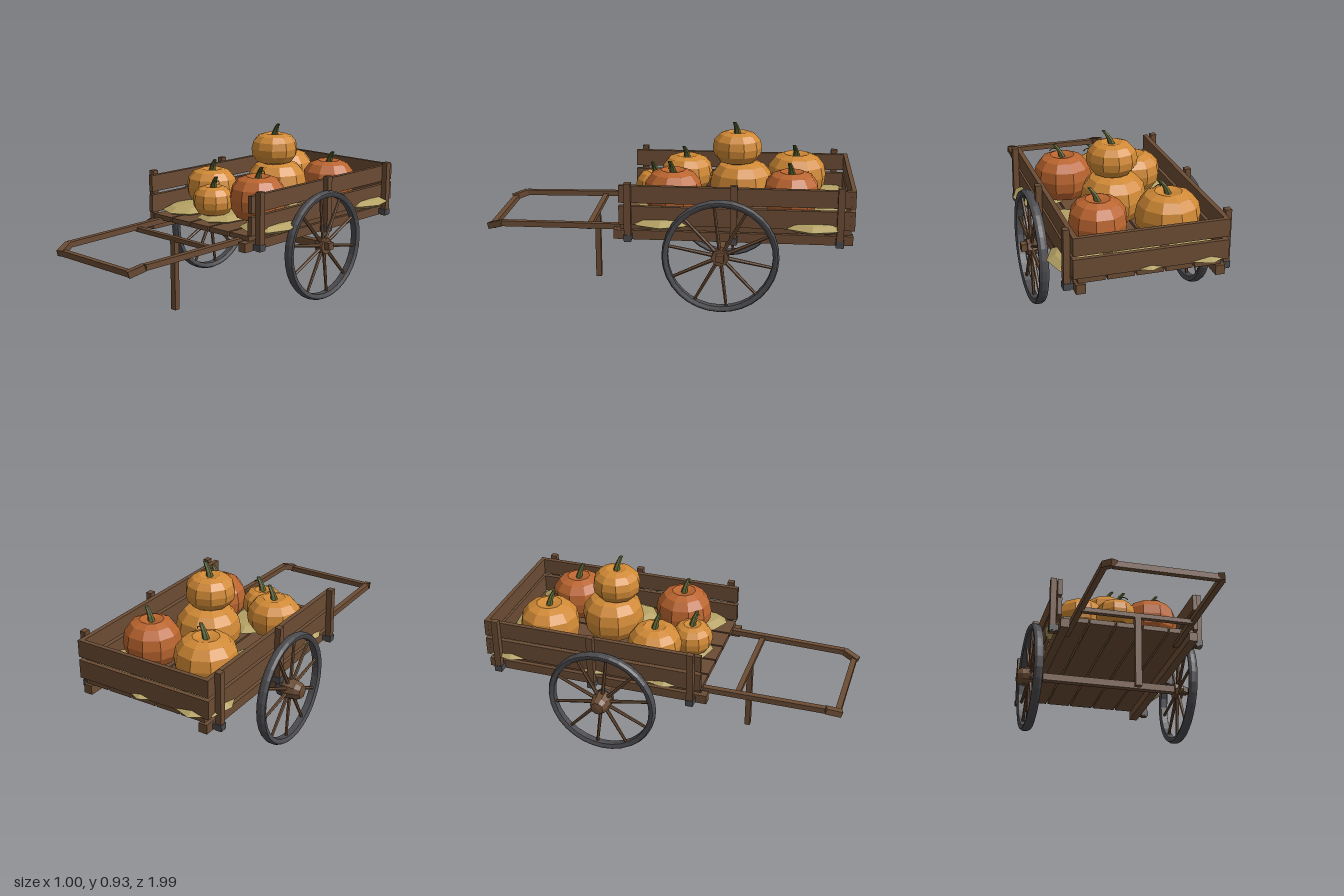
import * as THREE from 'three';

export function createModel() {
  const root = new THREE.Group();
  root.name = 'pumpkinCart';
  const mat = (name, color, flat = true) => {
    const m = new THREE.MeshStandardMaterial({ color, flatShading: flat });
    m.name = name;
    return m;
  };
  const wood = mat('wood', 0x6b4c34);
  const iron = mat('iron', 0x4b4a4e);
  const straw = mat('straw', 0xb5a264);
  const orange = mat('orange', 0xd18a36);
  const rust = mat('rust', 0xbb652f);
  const green = mat('stemGreen', 0x5a6332);

  const add = (name, geo, m, x = 0, y = 0, z = 0, parent = root) => {
    const mesh = new THREE.Mesh(geo, m);
    mesh.name = name;
    mesh.position.set(x, y, z);
    parent.add(mesh);
    return mesh;
  };
  // Box given by its minimum and maximum corners
  const box = (name, m, x0, x1, y0, y1, z0, z1) =>
    add(name, new THREE.BoxGeometry(x1 - x0, y1 - y0, z1 - z0), m,
      (x0 + x1) / 2, (y0 + y1) / 2, (z0 + z1) / 2);
  // Square bar between two points
  const bar = (name, a, b, w) => {
    const p = new THREE.Vector3(...a), q = new THREE.Vector3(...b);
    const mesh = add(name, new THREE.BoxGeometry(w, w, p.distanceTo(q)), wood);
    mesh.position.copy(p).lerp(q, 0.5);
    mesh.lookAt(q);
  };
  // Lathe from [radius, height] pairs
  const lathe = (pts, n) => new THREE.LatheGeometry(pts.map(p => new THREE.Vector2(...p)), n);

  // Bed planks
  for (let i = 0; i < 5; i++) {
    const x = 0.014 + (i - 2) * 0.146;
    box('bedPlank', wood, x - 0.068, x + 0.068, 0.418, 0.445, -0.95, 0.25);
  }

  // Side beams, boards, stakes and iron brackets, mirrored about the cart's middle
  const mid = 0.01;
  for (const s of [-1, 1]) {
    const sideBox = (name, m, a, b, y0, y1, z0, z1) =>
      box(name, m, mid + Math.min(s * a, s * b), mid + Math.max(s * a, s * b), y0, y1, z0, z1);
    sideBox('sideBeam', wood, 0.327, 0.375, 0.365, 0.415, -0.96, 0.285);
    sideBox('lowerSideBoard', wood, 0.364, 0.389, 0.45, 0.55, -0.96, 0.255);
    sideBox('upperSideBoard', wood, 0.364, 0.389, 0.568, 0.66, -0.96, 0.255);
    for (const z of [0.205, -0.345, -0.89]) {
      sideBox('stake', wood, 0.389, 0.421, 0.365, 0.68, z - 0.018, z + 0.018);
      sideBox('bracket', iron, 0.37, 0.424, 0.37, 0.402, z - 0.021, z + 0.021);
    }
    // Handle shafts with a bent end
    const knee = [mid + s * 0.292, 0.407, 0.9];
    bar('handleShaft', [mid + s * 0.307, 0.415, 0.1], knee, 0.03);
    bar('handleEnd', knee, [mid + s * 0.262, 0.381, 0.98], 0.034);
  }
  box('lowerBackBoard', wood, -0.38, 0.4, 0.45, 0.55, -0.965, -0.942);
  box('upperBackBoard', wood, -0.38, 0.4, 0.568, 0.66, -0.965, -0.942);

  // Handle grip, brace and prop leg
  box('handleGrip', wood, -0.255, 0.275, 0.366, 0.396, 0.945, 0.975);
  box('handleBrace', wood, -0.285, 0.305, 0.388, 0.412, 0.415, 0.443);
  box('propLeg', wood, -0.007, 0.027, 0.01, 0.395, 0.415, 0.445);
  box('axle', wood, -0.47, 0.5, 0.29, 0.33, -0.3, -0.26);

  // Wheels
  const tyreGeo = lathe([[0.272, -0.018], [0.288, -0.025], [0.297, -0.025], [0.305, -0.01],
    [0.305, 0.01], [0.297, 0.025], [0.288, 0.025], [0.272, 0.018], [0.272, -0.018]], 32);
  for (const [side, x] of [['right', -0.427], ['left', 0.445]]) {
    const wheel = new THREE.Group();
    wheel.name = side + 'Wheel';
    wheel.position.set(x, 0.305, -0.28);
    wheel.rotation.z = Math.PI / 2; // lathe +y now points to -x
    root.add(wheel);
    add('tyre', tyreGeo, iron, 0, 0, 0, wheel);
    for (let i = 0; i < 10; i++) {
      const pivot = new THREE.Group();
      pivot.name = 'spokePivot';
      pivot.rotation.y = (i + 0.3) * Math.PI / 5;
      wheel.add(pivot);
      const spoke = add('spoke', new THREE.CylinderGeometry(0.008, 0.011, 0.26, 6), wood, 0, 0, 0.15, pivot);
      spoke.rotation.x = Math.PI / 2;
    }
    if (side === 'right') {
      add('hub', lathe([[0, -0.03], [0.052, -0.028], [0.058, 0], [0.052, 0.03], [0.05, 0.045],
        [0.035, 0.074], [0, 0.078]], 10), wood, 0, 0, 0, wheel);
      add('hubBand', lathe([[0, -0.07], [0.035, -0.07], [0.05, -0.055], [0.055, -0.029], [0, -0.029]], 10),
        iron, 0, 0, 0, wheel);
    } else {
      add('hub', new THREE.CylinderGeometry(0.046, 0.046, 0.05, 8), wood, 0, 0, 0, wheel);
    }
  }

  // Flat straw sacks: x, z, turn
  const sackGeo = new THREE.SphereGeometry(1, 8, 4);
  for (const [x, z, turn] of [[-0.27, -0.83, 0.1], [0.02, -0.82, 0], [0.33, -0.76, -0.1], [-0.26, -0.34, 0],
    [0.25, -0.36, 0.1], [-0.265, 0.045, 0.1], [0.325, 0.035, 0], [0, 0.04, 0.2]]) {
    const sack = add('strawSack', sackGeo, straw, x, 0.456, z);
    sack.scale.set(0.145, 0.032, 0.175);
    sack.rotation.y = turn;
  }

  // Stem: a tapered cylinder leaning over as it rises
  const stemGeo = new THREE.CylinderGeometry(0.010, 0.021, 0.085, 6, 4);
  const sp = stemGeo.attributes.position;
  for (let i = 0; i < sp.count; i++) {
    const t = sp.getY(i) / 0.085 + 0.5;
    sp.setX(i, sp.getX(i) + 0.04 * t * t);
    sp.setZ(i, sp.getZ(i) + 0.015 * t * t);
    sp.setY(i, t * 0.085 - 0.018);
  }
  stemGeo.computeVertexNormals();
  const tendrilGeo = new THREE.TubeGeometry(new THREE.CatmullRomCurve3([
    new THREE.Vector3(0, 0.01, 0), new THREE.Vector3(0.03, 0.035, 0.02),
    new THREE.Vector3(0.055, 0.04, 0.01), new THREE.Vector3(0.065, 0.025, 0.02)]), 8, 0.003, 4);

  // Pumpkins: squashed profile with a dimpled top
  const bodyGeo = lathe([[0, -0.9], [0.35, -1], [0.75, -0.8], [0.96, -0.38], [1, 0.05],
    [0.93, 0.5], [0.72, 0.85], [0.42, 1], [0, 0.86]], 10);
  const pumpkin = (name, m, x, z, r, y0, y1, turn, tendril) => {
    const g = new THREE.Group();
    g.name = name;
    g.position.set(x, (y0 + y1) / 2, z);
    root.add(g);
    const h = (y1 - y0) / 2;
    const body = add('pumpkinBody', bodyGeo, m, 0, 0, 0, g);
    body.scale.set(r, h, r);
    body.rotation.y = turn;
    add('stem', stemGeo, green, 0, h * 0.9, 0, g);
    if (tendril) add('tendril', tendrilGeo, green, 0, h * 0.95, 0, g);
  };
  pumpkin('backRightPumpkin', orange, -0.17, -0.67, 0.167, 0.455, 0.71, 0.1, true);
  pumpkin('backLeftPumpkin', rust, 0.185, -0.64, 0.152, 0.455, 0.7, 0.3, false);
  pumpkin('middlePumpkin', orange, 0.022, -0.37, 0.172, 0.455, 0.71, 0.2, false);
  pumpkin('topPumpkin', orange, 0.023, -0.345, 0.133, 0.695, 0.873, 0, false);
  pumpkin('frontRightPumpkin', orange, -0.192, -0.055, 0.146, 0.475, 0.682, 0.25, false);
  pumpkin('frontLeftPumpkin', rust, 0.2, -0.012, 0.157, 0.452, 0.7, 0.15, true);
  pumpkin('smallPumpkin', orange, -0.024, 0.105, 0.113, 0.465, 0.63, 0.3, true);

  return root;
}
